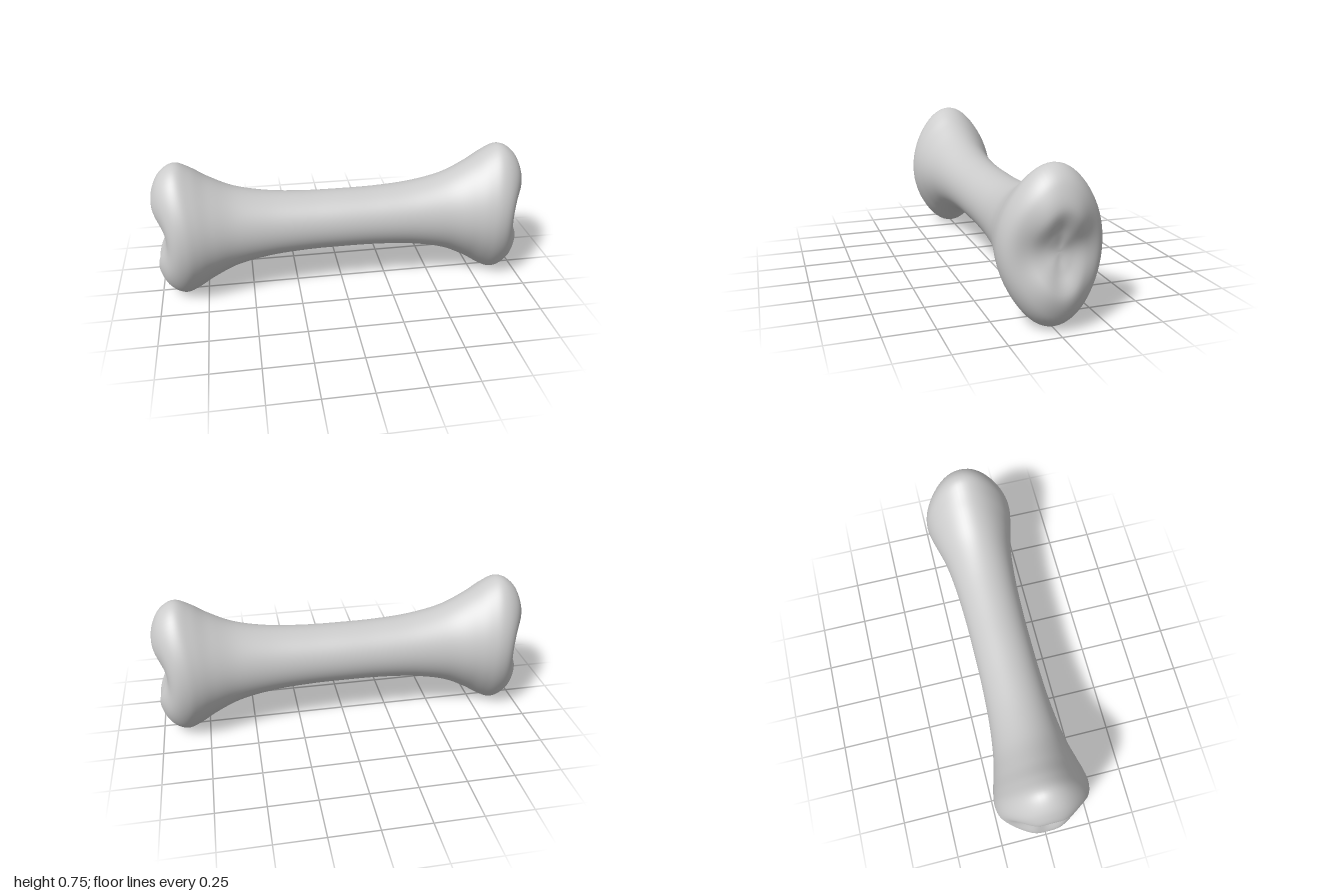
import * as THREE from 'three';

// Half profiles from the middle of the shaft to the centre of the end: [x, radius]
const TALL = [[0.2, 0.163], [0.4, 0.18], [0.57, 0.22], [0.7, 0.285], [0.79, 0.345], [0.86, 0.377],
  [0.92, 0.357], [0.97, 0.3], [1.0, 0.2], [0.966, 0.1], [0.949, 0.04], [0.945, 0]];
const WIDE = [[0.2, 0.162], [0.4, 0.172], [0.57, 0.192], [0.69, 0.22], [0.77, 0.24], [0.83, 0.247],
  [0.885, 0.234], [0.92, 0.197], [0.938, 0.131], [0.943, 0.065], [0.945, 0.026], [0.945, 0]];
const CENTRE_Y = 0.378;

// Mirror a half profile into one smooth curve running from -x to +x
function fullProfile(half) {
  const right = half.map(([x, r]) => new THREE.Vector2(x, r));
  const left = half.map(([x, r]) => new THREE.Vector2(-x, r)).reverse();
  return new THREE.SplineCurve([...left, new THREE.Vector2(0, 0.16), ...right]);
}

// Oval rings whose height and width follow the two profiles
function boneGeometry(rings = 144, sides = 64) {
  const tall = fullProfile(TALL), wide = fullProfile(WIDE);
  const positions = [], indices = [];
  for (let i = 0; i <= rings; i++) {
    const t = tall.getPoint(i / rings), w = wide.getPoint(i / rings);
    const pinch = 0.045 * THREE.MathUtils.smoothstep(Math.abs(t.x), 0.4, 0.86);
    for (let j = 0; j < sides; j++) {
      const a = (j / sides) * Math.PI * 2, c = Math.cos(a), s = Math.sin(a);
      const k = 1 - pinch * Math.sin(2 * a) ** 2;
      // the end knobs bulge at top and bottom, leaving a groove across z
      positions.push(
        THREE.MathUtils.lerp(t.x, w.x, s ** 4),
        CENTRE_Y + t.y * c * k,
        w.y * s * k
      );
      if (i === rings) continue;
      const n = (j + 1) % sides, p = i * sides, q = p + sides;
      // skip the collapsed half of each quad at the two end points
      if (i > 0) indices.push(p + j, p + n, q + j);
      if (i < rings - 1) indices.push(p + n, q + n, q + j);
    }
  }
  const geometry = new THREE.BufferGeometry();
  geometry.setAttribute('position', new THREE.Float32BufferAttribute(positions, 3));
  geometry.setIndex(indices);
  geometry.computeVertexNormals();
  // the end points face straight along x
  const normal = geometry.attributes.normal;
  for (let j = 0; j < sides; j++) {
    normal.setXYZ(j, -1, 0, 0);
    normal.setXYZ(rings * sides + j, 1, 0, 0);
  }
  return geometry;
}

export function createModel() {
  const group = new THREE.Group();
  group.name = 'bone';
  const bone = new THREE.Mesh(boneGeometry(), new THREE.MeshStandardMaterial({ color: 0xcccccc }));
  bone.name = 'boneBody';
  group.add(bone);
  return group;
}
